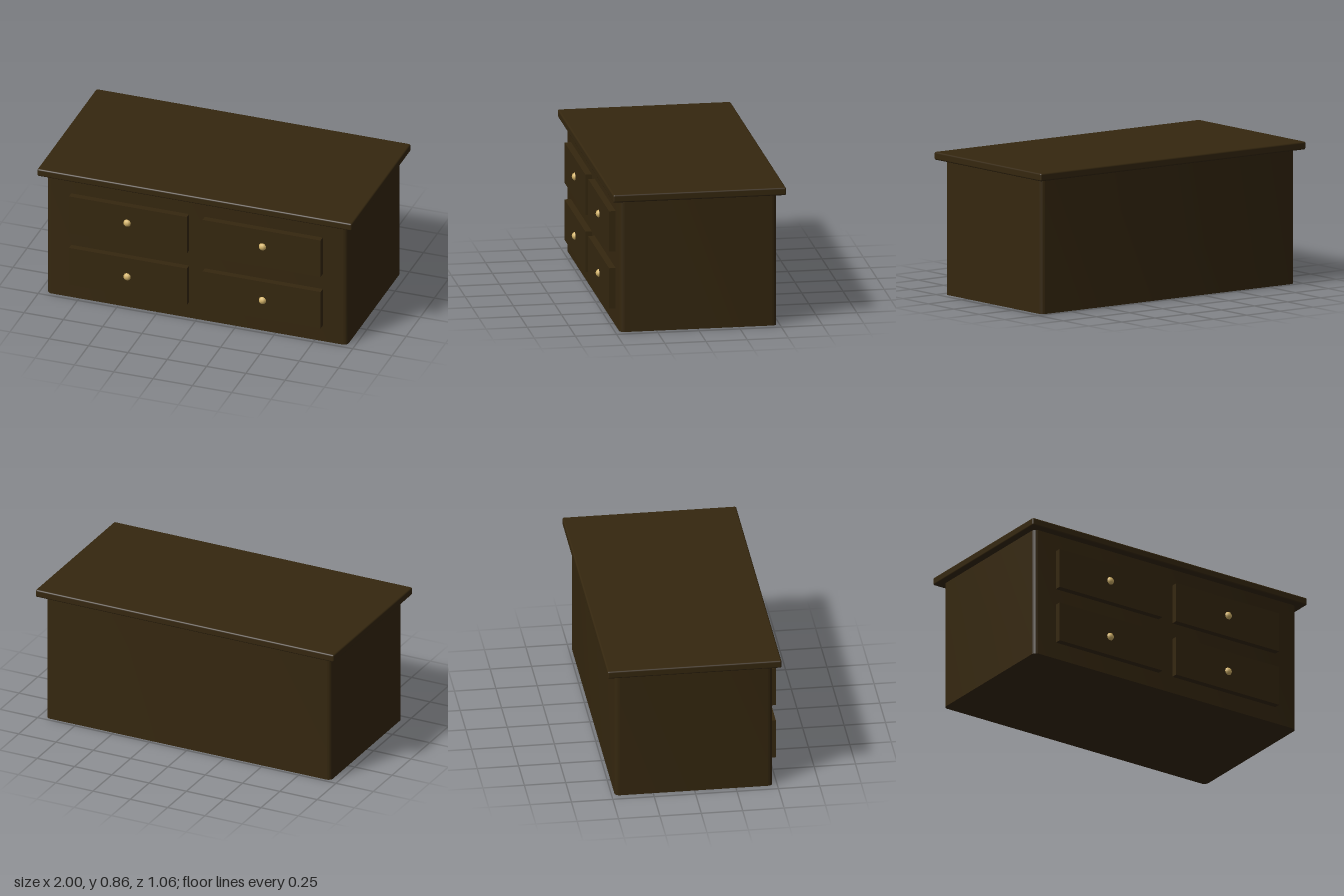
import * as THREE from 'three';
import { toCreasedNormals } from 'three/addons/utils/BufferGeometryUtils.js';
import { RoundedBoxGeometry } from 'three/addons/geometries/RoundedBoxGeometry.js';

const wood = new THREE.MeshStandardMaterial({ color: 0x35270f });
wood.name = 'dark wood';
const brass = new THREE.MeshStandardMaterial({ color: 0xd4b46a });
brass.name = 'brass';

function add(parent, name, geometry, material, x, y, z) {
  const mesh = new THREE.Mesh(geometry, material);
  mesh.name = name;
  mesh.position.set(x, y, z);
  parent.add(mesh);
  return mesh;
}

// Upright block with rounded vertical edges and a flat base
function roundedBlock(w, h, d, r) {
  const x = w / 2, y = d / 2;
  const s = new THREE.Shape();
  s.moveTo(-x + r, -y);
  s.absarc(x - r, -y + r, r, -Math.PI / 2, 0);
  s.absarc(x - r, y - r, r, 0, Math.PI / 2);
  s.absarc(-x + r, y - r, r, Math.PI / 2, Math.PI);
  s.absarc(-x + r, -y + r, r, Math.PI, Math.PI * 1.5);
  const g = new THREE.ExtrudeGeometry(s, { depth: h, bevelEnabled: false, curveSegments: 6 });
  g.rotateX(-Math.PI / 2);
  return toCreasedNormals(g, Math.PI / 5);
}

export function createModel() {
  const model = new THREE.Group();
  model.name = 'chestOfDrawers';

  add(model, 'cabinetBody', roundedBlock(1.91, 0.82, 0.953, 0.03), wood, 0, 0, -0.004);
  add(model, 'topBoard', new RoundedBoxGeometry(2, 0.048, 1.05, 3, 0.01), wood, 0, 0.839, -0.005);

  // Two rows of two drawers, each with a round knob
  const front = new THREE.BoxGeometry(0.75, 0.25, 0.06);
  const knob = new THREE.SphereGeometry(0.025, 10, 8);
  for (const side of [-1, 1]) {
    for (const y of [0.232, 0.585]) {
      const drawer = new THREE.Group();
      drawer.name = 'drawer';
      drawer.position.set(side * 0.425, y, 0);
      add(drawer, 'drawerFront', front, wood, 0, 0, 0.482);
      add(drawer, 'drawerKnob', knob, brass, side * 0.005, y < 0.4 ? -0.003 : 0.012, 0.506);
      model.add(drawer);
    }
  }
  return model;
}
